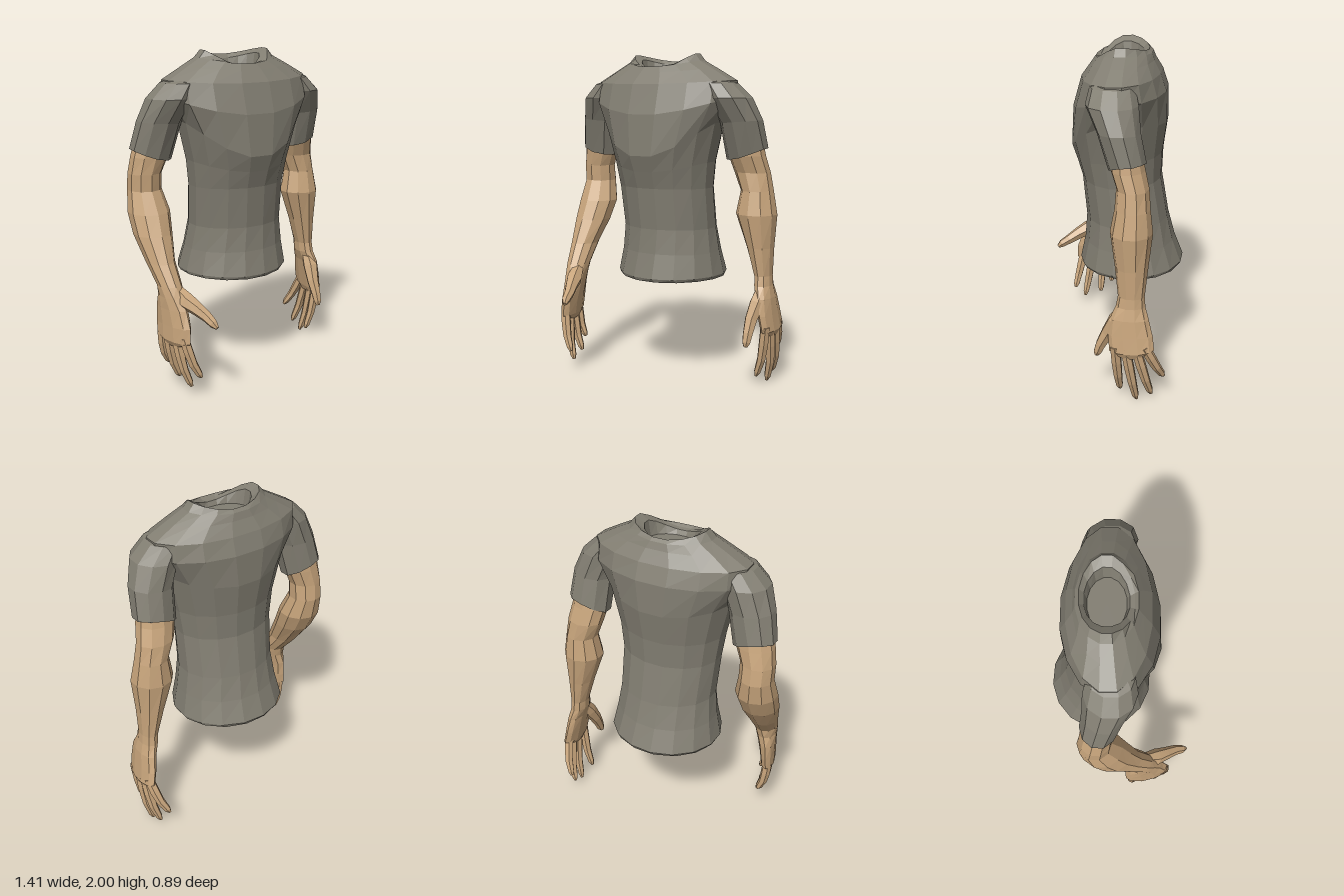
import * as THREE from 'three';

const shirtMat = new THREE.MeshStandardMaterial({ color: 0x827e72 });
const skinMat = new THREE.MeshStandardMaterial({ color: 0xc8a57c });
shirtMat.name = 'greyCloth';
skinMat.name = 'skin';

// Faceted closed skin over a stack of rings of Vector3
function loft(name, rings, mat) {
  const pos = [];
  const n = rings[0].length;
  const tri = (...pts) => pts.forEach((p) => pos.push(p.x, p.y, p.z));
  const middle = (r) => r.reduce((s, p) => s.add(p), new THREE.Vector3()).divideScalar(n);
  const first = rings[0], last = rings[rings.length - 1];
  const c0 = middle(first), c1 = middle(last);
  for (let j = 0; j < n; j++) {
    const k = (j + 1) % n;
    for (let i = 0; i < rings.length - 1; i++) {
      const a = rings[i], b = rings[i + 1];
      tri(a[j], b[j], a[k]);
      tri(a[k], b[j], b[k]);
    }
    tri(c0, first[j], first[k]);
    tri(c1, last[k], last[j]);
  }
  const g = new THREE.BufferGeometry();
  g.setAttribute('position', new THREE.Float32BufferAttribute(pos, 3));
  g.computeVertexNormals();
  const mesh = new THREE.Mesh(g, mat);
  mesh.name = name;
  return mesh;
}

// Level elliptical ring by its extents, with optional front/back drop, side tilt, and yaw
function ring(n, [y, x0, x1, z0, z1, drop = 0, backDrop = 0, tilt = 0, yaw = 0]) {
  const out = [];
  for (let j = 0; j < n; j++) {
    const t = ((j + 0.5) / n) * Math.PI * 2;
    const c = Math.cos(t), s = Math.sin(t);
    const k = 1 / Math.cos(Math.PI / n); // lets the flat sides reach the extents
    const dx = ((x1 - x0) / 2) * c * k, dz = ((z1 - z0) / 2) * s * k;
    out.push(new THREE.Vector3(
      (x0 + x1) / 2 + dx * Math.cos(yaw) + dz * Math.sin(yaw),
      y - (s > 0 ? drop : backDrop) * s * s + tilt * c,
      (z0 + z1) / 2 - dx * Math.sin(yaw) + dz * Math.cos(yaw)));
  }
  return out;
}
const stack = (name, n, specs, mat) => loft(name, specs.map((s) => ring(n, s)), mat);

// Finger along a bent path of [x, y, z, radius]
function finger(name, path) {
  const pts = path.map((p) => new THREE.Vector3(p[0], p[1], p[2]));
  const rings = pts.map((p, i) => {
    const t = pts[Math.min(i + 1, pts.length - 1)].clone().sub(pts[Math.max(i - 1, 0)]).normalize();
    const u = new THREE.Vector3(1, 0, 0).addScaledVector(t, -t.x).normalize();
    const v = u.clone().cross(t);
    return Array.from({ length: 6 }, (_, j) => {
      const a = (j / 6) * Math.PI * 2;
      return p.clone().addScaledVector(u, Math.cos(a) * path[i][3]).addScaledVector(v, Math.sin(a) * path[i][3]);
    });
  });
  return loft(name, rings, skinMat);
}

// Finger from knuckle to tip with a slight outward bow
function bentFinger(name, base, tip, bow) {
  const at = (f, b) => base.map((v, i) => v + (tip[i] - v) * f + (i === 0 ? b : 0));
  return finger(name, [
    [...at(-0.15, 0), 0.03], [...at(0.25, bow * 0.7), 0.031], [...at(0.6, bow), 0.027],
    [...at(0.9, bow * 0.3), 0.021], [...at(1, 0), 0.01],
  ]);
}

export function createModel() {
  const model = new THREE.Group();
  model.name = 'shirtTorsoWithArms';

  // Shirt body, ending in a recessed neck opening
  model.add(stack('shirtBody', 16, [
    [0.66, -0.31, 0.30, -0.38, 0.14],
    [0.64, -0.34, 0.33, -0.43, 0.18, 0.01],
    [0.66, -0.35, 0.34, -0.44, 0.19, 0.01, 0, 0, -0.06],
    [0.80, -0.32, 0.315, -0.385, 0.16, 0, 0, 0, -0.04],
    [0.95, -0.30, 0.295, -0.345, 0.15],
    [1.20, -0.315, 0.295, -0.30, 0.175],
    [1.36, -0.335, 0.315, -0.305, 0.205, 0.06],
    [1.60, -0.39, 0.37, -0.33, 0.235, 0.21, 0.05],
    [1.74, -0.485, 0.465, -0.325, 0.22, 0.1],
    [1.84, -0.485, 0.46, -0.29, 0.17, 0.02],
    [1.91, -0.36, 0.335, -0.25, 0.12, 0.02],
    [1.96, -0.27, 0.24, -0.235, 0.095, 0.035, 0.01],
    [2.005, -0.23, 0.205, -0.215, 0.075, 0.095, 0.04],
    [1.975, -0.18, 0.15, -0.19, 0.05, 0.07, 0.035],
    [1.88, -0.165, 0.135, -0.175, 0.035],
  ], shirtMat));

  // Sleeves, with their tops buried in the shoulders
  model.add(stack('leftSleeve', 10, [
    [1.41, 0.385, 0.63, -0.245, -0.045, 0.02, -0.03, 0.035],
    [1.60, 0.37, 0.615, -0.21, 0.02, 0, 0, 0.01],
    [1.74, 0.31, 0.565, -0.19, 0.09],
    [1.825, 0.27, 0.475, -0.165, 0.075],
    [1.86, 0.28, 0.38, -0.12, 0.03],
  ], shirtMat));
  model.add(stack('rightSleeve', 10, [
    [1.41, -0.68, -0.44, -0.22, -0.02, 0.02, -0.03, -0.035],
    [1.60, -0.645, -0.39, -0.20, 0.03, 0, 0, -0.01],
    [1.74, -0.595, -0.33, -0.19, 0.09],
    [1.825, -0.51, -0.29, -0.165, 0.075],
    [1.86, -0.40, -0.30, -0.12, 0.03],
  ], shirtMat));

  // Arms, from the knuckles up into the sleeve
  model.add(stack('leftArm', 10, [
    [0.31, 0.645, 0.69, -0.295, -0.085, -0.03, -0.06],
    [0.35, 0.63, 0.705, -0.315, -0.07, 0, -0.02],
    [0.45, 0.61, 0.692, -0.305, -0.06],
    [0.55, 0.59, 0.68, -0.28, -0.07],
    [0.62, 0.565, 0.665, -0.26, -0.10],
    [0.68, 0.56, 0.66, -0.255, -0.11],
    [0.85, 0.51, 0.665, -0.27, -0.09],
    [1.05, 0.44, 0.68, -0.29, -0.06],
    [1.19, 0.465, 0.655, -0.275, -0.085],
    [1.30, 0.42, 0.635, -0.265, -0.09],
    [1.40, 0.395, 0.615, -0.24, -0.055],
    [1.50, 0.40, 0.60, -0.22, -0.05],
  ], skinMat));
  model.add(stack('rightArm', 10, [
    [0.32, -0.61, -0.56, 0.065, 0.295, -0.03, -0.06, 0, 0.25],
    [0.36, -0.63, -0.545, 0.045, 0.315, 0, -0.02, 0, 0.25],
    [0.45, -0.63, -0.535, 0.04, 0.31, 0, 0, 0, 0.25],
    [0.55, -0.635, -0.525, 0.04, 0.27, 0, 0, 0, 0.25],
    [0.62, -0.64, -0.515, 0.05, 0.23, 0, 0, 0, 0.15],
    [0.68, -0.645, -0.51, 0.04, 0.20],
    [0.80, -0.67, -0.51, -0.06, 0.13],
    [0.95, -0.70, -0.48, -0.17, 0.06],
    [1.07, -0.705, -0.465, -0.23, 0.01],
    [1.20, -0.69, -0.495, -0.245, -0.05],
    [1.30, -0.69, -0.495, -0.23, -0.045],
    [1.40, -0.675, -0.455, -0.215, -0.035],
    [1.50, -0.65, -0.44, -0.20, -0.03],
  ], skinMat));

  // Fingers: knuckle and tip, index to little
  const hands = {
    left: [
      [[0.66, 0.34, -0.10], [0.60, 0.06, -0.12]],
      [[0.666, 0.33, -0.165], [0.625, 0.01, -0.22]],
      [[0.666, 0.33, -0.23], [0.62, 0.05, -0.305]],
      [[0.66, 0.36, -0.28], [0.595, 0.16, -0.375]],
    ],
    right: [
      [[-0.558, 0.36, 0.28], [-0.485, 0.145, 0.325]],
      [[-0.578, 0.34, 0.215], [-0.515, 0.07, 0.26]],
      [[-0.597, 0.34, 0.145], [-0.535, 0.10, 0.15]],
      [[-0.61, 0.36, 0.085], [-0.565, 0.17, 0.075]],
    ],
  };
  const labels = ['IndexFinger', 'MiddleFinger', 'RingFinger', 'LittleFinger'];
  for (const side of ['left', 'right']) {
    hands[side].forEach(([base, tip], i) =>
      model.add(bentFinger(side + labels[i], base, tip, side === 'left' ? 0.015 : -0.015)));
  }

  // Thumbs
  model.add(finger('leftThumb', [
    [0.62, 0.61, -0.15, 0.035], [0.615, 0.52, -0.095, 0.05], [0.60, 0.43, -0.045, 0.04],
    [0.60, 0.35, -0.005, 0.032], [0.60, 0.30, 0.013, 0.026], [0.60, 0.275, 0.022, 0.012],
  ]));
  model.add(finger('rightThumb', [
    [-0.55, 0.65, 0.16, 0.035], [-0.525, 0.595, 0.235, 0.052], [-0.495, 0.565, 0.30, 0.041],
    [-0.465, 0.53, 0.36, 0.033], [-0.45, 0.50, 0.41, 0.027], [-0.44, 0.48, 0.435, 0.012],
  ]));

  return model;
}
